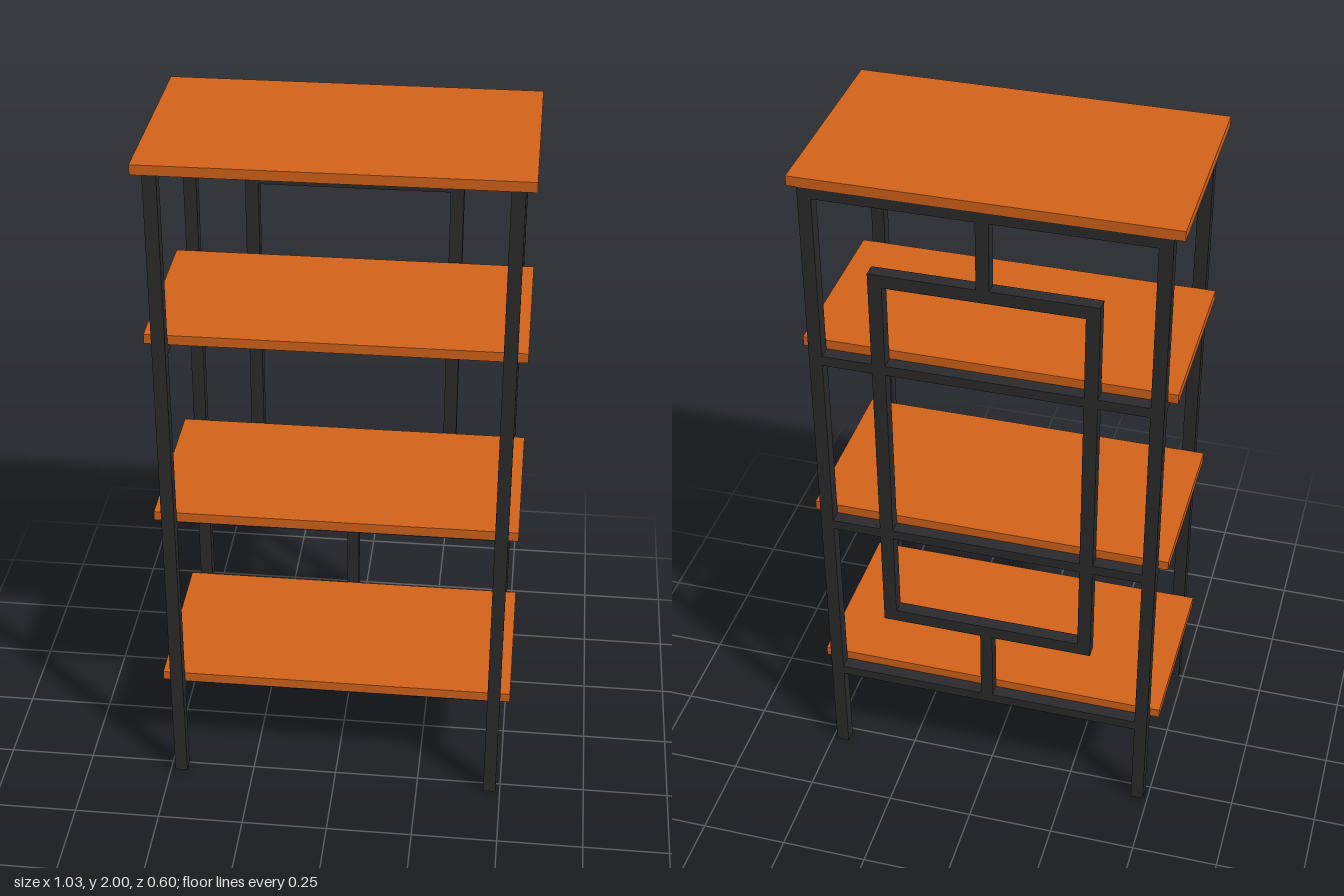
import * as THREE from 'three';

export function createModel() {
  const group = new THREE.Group();
  group.name = 'shelvingUnit';
  const wood = new THREE.MeshStandardMaterial({ color: 0xd4631a });
  const metal = new THREE.MeshStandardMaterial({ color: 0x2b2b2d });

  // Box given by its lower and upper corners
  function bar(name, material, [x0, y0, z0], [x1, y1, z1]) {
    const mesh = new THREE.Mesh(new THREE.BoxGeometry(x1 - x0, y1 - y0, z1 - z0), material);
    mesh.position.set((x0 + x1) / 2, (y0 + y1) / 2, (z0 + z1) / 2);
    mesh.name = name;
    group.add(mesh);
  }

  const inX = 0.45, outX = 0.487;          // leg faces across the width
  const frontIn = 0.248, frontOut = 0.286; // front leg faces
  const backIn = -0.264, backOut = -0.302; // back leg faces
  const board = 0.028, rail = 0.03, halfW = 0.515;
  const top = 2 - board;

  // Four legs
  for (const [side, x] of [['left', inX], ['right', -outX]]) {
    const x1 = x + outX - inX;
    bar(side + 'FrontLeg', metal, [x, 0, frontIn], [x1, top, frontOut]);
    bar(side + 'BackLeg', metal, [x, 0, backOut], [x1, top, backIn]);
  }

  // Boards with a back rail and two side rails under each; the front stays open
  const levels = [0.344, 0.915, 1.485, 2];
  levels.forEach((y, i) => {
    const isTop = i === levels.length - 1;
    const under = y - board;
    bar(isTop ? 'topBoard' : 'shelf' + (i + 1), wood,
      [-halfW, under, isTop ? -0.302 : backIn], [halfW, y, isTop ? 0.302 : frontIn]);
    bar('backRail', metal, [-inX, under - rail, backOut], [inX, under, backIn]);
    bar('leftSideRail', metal, [inX, under - rail, backIn], [outX, under, frontIn]);
    bar('rightSideRail', metal, [-outX, under - rail, backIn], [-inX, under, frontIn]);
    // Dark lining beneath the two lower shelves
    if (i < 2) bar('shelfLining', metal, [-inX, under - 0.003, backIn], [inX, under, frontIn]);
  });

  // Rectangular frame in the back plane, hung from two short stems
  const fx = 0.31, fw = 0.038, y0 = 0.546, y1 = 1.742;
  bar('backFrameBottom', metal, [-fx, y0, backOut], [fx, y0 + fw, backIn]);
  bar('backFrameTop', metal, [-fx, y1 - fw, backOut], [fx, y1, backIn]);
  for (const x of [-fx, fx - fw]) {
    bar('backFrameUpright', metal, [x, y0 + fw, backOut], [x + fw, y1 - fw, backIn]);
  }
  bar('lowerStem', metal, [-0.018, levels[0] - board, backOut], [0.018, y0, backIn]);
  bar('upperStem', metal, [-0.018, y1, backOut], [0.018, top - rail, backIn]);

  return group;
}
